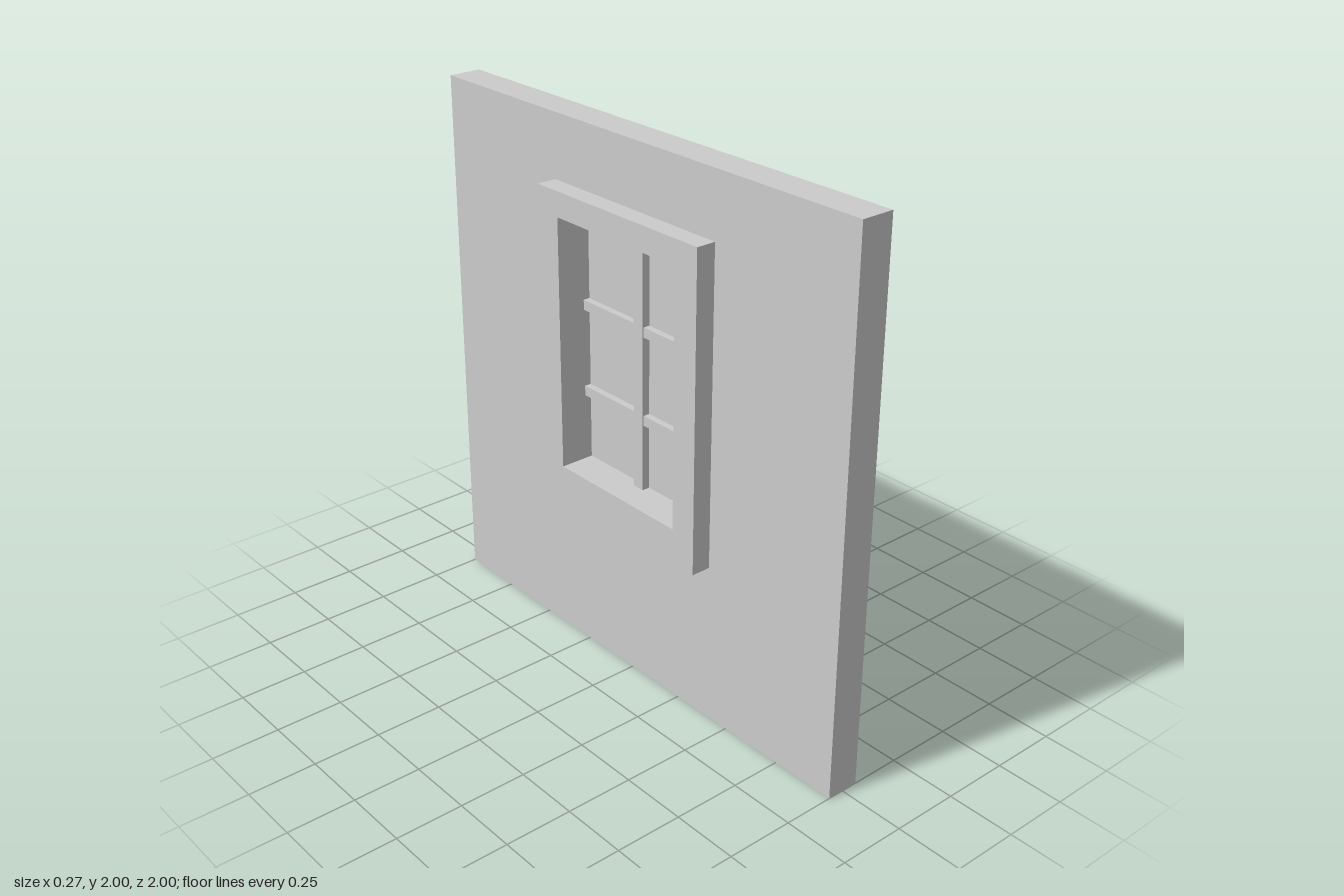
import * as THREE from 'three';

const material = new THREE.MeshStandardMaterial({ color: 0xcccccc, flatShading: true });

// Rectangle outline: half width along z, bottom and top heights
function rect(half, bottom, top, Type = THREE.Shape) {
  return new Type([
    new THREE.Vector2(-half, bottom), new THREE.Vector2(half, bottom),
    new THREE.Vector2(half, top), new THREE.Vector2(-half, top),
  ]);
}

// Slab lying in the z-y plane, centred on x = 0, with a rectangular hole
function holedSlab(name, outer, hole, thickness) {
  const shape = rect(...outer);
  shape.holes.push(rect(...hole, THREE.Path));
  const geometry = new THREE.ExtrudeGeometry(shape, { depth: thickness, bevelEnabled: false });
  geometry.translate(0, 0, -thickness / 2);
  geometry.rotateY(Math.PI / 2);
  const mesh = new THREE.Mesh(geometry, material);
  mesh.name = name;
  return mesh;
}

function box(name, width, height, depth, y, z = 0) {
  const mesh = new THREE.Mesh(new THREE.BoxGeometry(width, height, depth), material);
  mesh.name = name;
  mesh.position.set(0, y, z);
  return mesh;
}

export function createModel() {
  const model = new THREE.Group();
  model.name = 'wallWithWindow';

  const frameOutline = [0.4, 0.603, 1.765];
  const opening = [0.297, 0.734, 1.673];
  const [half, bottom, top] = opening;
  const height = top - bottom;
  const middle = (top + bottom) / 2;

  // Wall panel, and the window frame standing proud of both its faces
  model.add(holedSlab('wall', [1, 0, 2], frameOutline, 0.123));
  model.add(holedSlab('windowFrame', frameOutline, opening, 0.27));

  // Window pane set in the middle of the frame
  const sash = new THREE.Group();
  sash.name = 'sash';
  sash.add(box('pane', 0.008, height, half * 2, middle));

  // Glazing bars: one upright, with two rows of crossbars either side of it
  const barWidth = 0.046;
  sash.add(box('uprightBar', 0.068, height, barWidth, middle));
  const length = half - barWidth / 2;
  for (const y of [1.002, 1.33]) {
    for (const side of [-1, 1]) {
      sash.add(box('crossbar', 0.058, 0.037, length, y, side * (barWidth + length) / 2));
    }
  }
  model.add(sash);
  return model;
}
